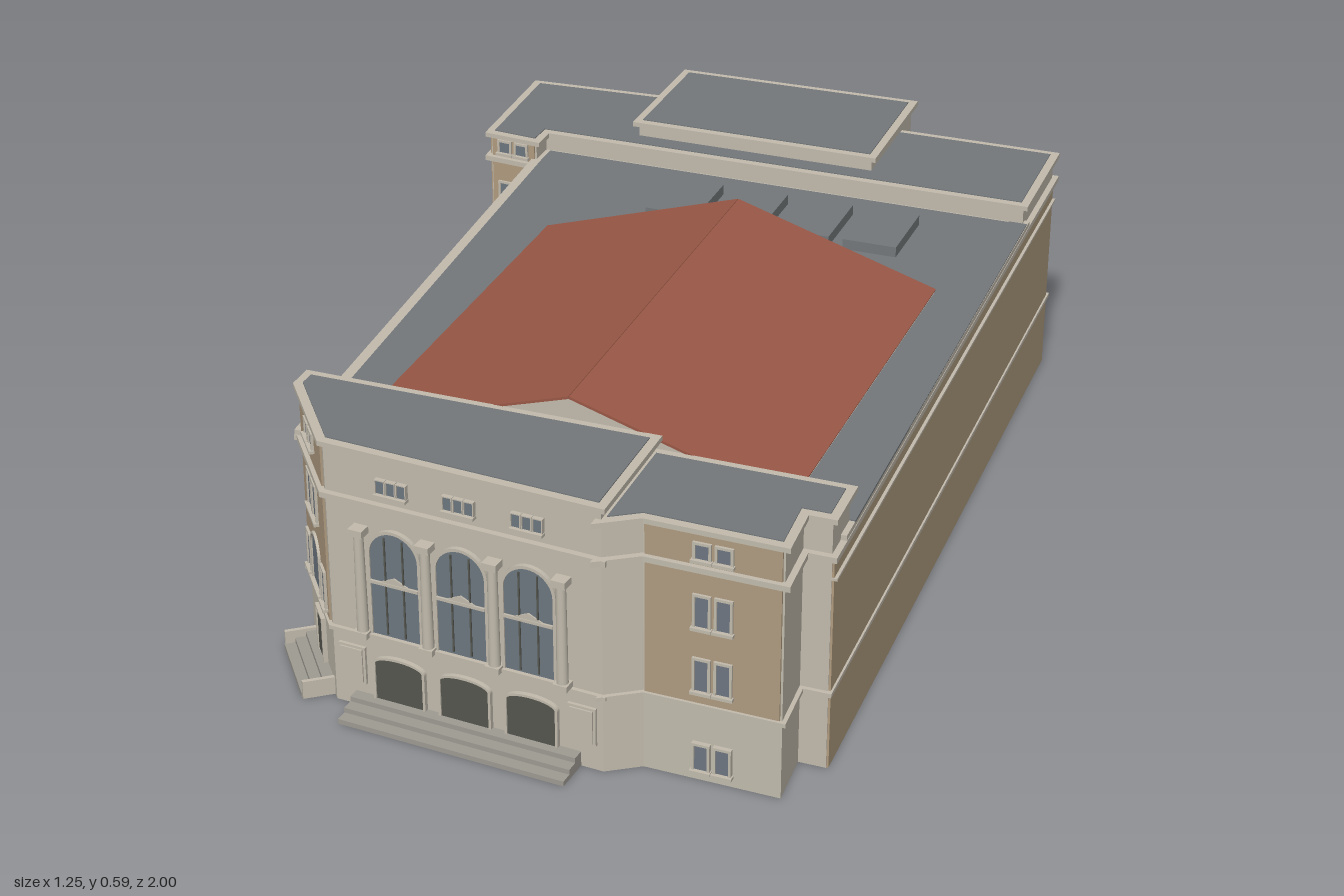
import * as THREE from 'three';

const mat = (name, color) => Object.assign(new THREE.MeshStandardMaterial({ color }), { name });
const stone = mat('pale stone', 0xc2bbad);
const brick = mat('tan brick', 0xb09b80);
const slate = mat('grey roof', 0x73787b);
const red = mat('red roof', 0x9a5846);
const glass = mat('window glass', 0x6d7680);
const dark = mat('dark doors', 0x55564f);
const stepGrey = mat('step stone', 0x9f9b93);

function add(parent, name, geometry, material, x = 0, y = 0, z = 0) {
  const m = new THREE.Mesh(geometry, material);
  m.name = name;
  m.position.set(x, y, z);
  parent.add(m);
  return m;
}

const box = (parent, name, material, w, h, d, x, y, z) =>
  add(parent, name, new THREE.BoxGeometry(w, h, d), material, x, y, z);

// Mitred outward offset of a footprint of [x, z] corners
function offset(pts, d) {
  const n = pts.length;
  const normal = (a, b) => {
    const dx = b[0] - a[0], dz = b[1] - a[1], l = Math.hypot(dx, dz);
    return [-dz / l, dx / l];
  };
  return pts.map((p, i) => {
    const a = normal(pts[(i + n - 1) % n], p), b = normal(p, pts[(i + 1) % n]);
    const k = d / (1 + a[0] * b[0] + a[1] * b[1]);
    return [p[0] + (a[0] + b[0]) * k, p[1] + (a[1] + b[1]) * k];
  });
}

// Upright prism on a footprint
function slab(parent, name, pts, y0, y1, material) {
  const shape = new THREE.Shape(pts.map(([x, z]) => new THREE.Vector2(x, -z)));
  const g = new THREE.ExtrudeGeometry(shape, { depth: y1 - y0, bevelEnabled: false });
  g.rotateX(-Math.PI / 2);
  return add(parent, name, g, material, 0, y0, 0);
}

// Local frame on a wall: x runs along it, z points outward
function wall(parent, name, p, q) {
  const g = new THREE.Group();
  g.name = name;
  g.position.set(p[0], 0, p[1]);
  g.rotation.y = Math.atan2(p[1] - q[1], q[0] - p[0]);
  g.userData.length = Math.hypot(q[0] - p[0], q[1] - p[1]);
  parent.add(g);
  return g;
}

function panel(w, y0, y1, inset = 0.01) {
  const L = w.userData.length;
  box(w, 'brickPanel', brick, L - inset * 2, y1 - y0, 0.004, L / 2, (y0 + y1) / 2, 0.002);
}

// Rectangle with an optional arched head of the given rise
function opening(Type, w, h, rise) {
  const s = new Type(), r = w / 2;
  s.moveTo(-r, 0);
  s.lineTo(r, 0);
  s.lineTo(r, h - rise);
  if (rise) s.absellipse(0, h - rise, r, rise, 0, Math.PI, false, 0);
  else s.lineTo(-r, h);
  s.lineTo(-r, 0);
  return s;
}

function windowAt(w, u, y, width, h, rise = 0, material = glass, t = 0.005) {
  const extrude = (s, depth) => new THREE.ExtrudeGeometry(s, { depth, bevelEnabled: false, curveSegments: 10 });
  add(w, 'windowPane', extrude(opening(THREE.Shape, width, h, rise), 0.006), material, u, y, 0);
  const frame = opening(THREE.Shape, width + t * 2, h + t, rise ? rise + t : 0);
  frame.holes.push(opening(THREE.Path, width, h, rise));
  add(w, 'windowFrame', extrude(frame, 0.009), stone, u, y, 0);
  box(w, 'windowSill', stone, width + t * 3, 0.006, 0.014, u, y - 0.003, 0.007);
}

const wingLevels = [[0.025, 0.05], [0.19, 0.062], [0.32, 0.06], [0.455, 0.028]];
function pairedWindows(w, u, levels = wingLevels) {
  for (const [y, h] of levels) for (const s of [-1, 1]) windowAt(w, u + s * 0.02, y, 0.024, h);
}

function steps(w, u, width, depth, height = 0.03, n = 3) {
  for (let i = 0; i < n; i++) {
    const d = depth * (1 - i / n);
    box(w, 'step', stepGrey, width, height / n, d, u, height * (i + 0.5) / n, d / 2);
  }
}

// Three great arches over three doors, with columns and attic windows
function pavilion(w, u, depth) {
  for (const i of [-1, 0, 1]) {
    const x = u + i * 0.133;
    windowAt(w, x, 0.17, 0.096, 0.215, 0.048, glass, 0.006);
    for (const s of [-1, 1]) box(w, 'mullion', dark, 0.003, 0.2, 0.003, x + s * 0.018, 0.275, 0.007);
    box(w, 'transom', stone, 0.096, 0.006, 0.005, x, 0.28, 0.008);
    const gable = new THREE.Shape([[-0.028, 0], [0.028, 0], [0, 0.013]].map(p => new THREE.Vector2(...p)));
    add(w, 'windowPediment', new THREE.ExtrudeGeometry(gable, { depth: 0.009, bevelEnabled: false }), stone, x, 0.283, 0);
    windowAt(w, x, 0.027, 0.096, 0.093, 0.014, dark, 0.005);
    for (const k of [-1, 0, 1]) windowAt(w, x + k * 0.021, 0.463, 0.016, 0.026, 0, glass, 0.002);
  }
  for (const i of [-1.5, -0.5, 0.5, 1.5]) {
    const x = u + i * 0.133;
    add(w, 'column', new THREE.CylinderGeometry(0.009, 0.011, 0.2, 14), stone, x, 0.273, 0.012);
    box(w, 'columnBase', stone, 0.028, 0.012, 0.026, x, 0.169, 0.012);
    box(w, 'columnCapital', stone, 0.028, 0.014, 0.026, x, 0.38, 0.012);
  }
  steps(w, u, 0.455, depth);
}

export function createModel() {
  const model = new THREE.Group();
  model.name = 'civicHall';

  // Footprints, anticlockwise seen from above
  const frontHall = [[-0.42, 0.68], [-0.42, 0.72], [-0.29, 0.89], [0.25, 0.93], [0.25, 0.68]];
  const frontWing = [[0.25, 0.68], [0.25, 0.93], [0.31, 0.89], [0.567, 0.895], [0.56, 0.78], [0.612, 0.78], [0.6096, 0.68]];
  const main = [[-0.49, -0.54], [-0.42, 0.72], [0.6105, 0.72], [0.578, -0.6], [-0.49, -0.6]];
  const rear = [[-0.6, -0.55], [-0.49, -0.54], [-0.49, -0.595], [0.578, -0.595], [0.572, -0.865], [-0.29, -0.86], [-0.612, -0.84]];
  const rearHall = [[-0.29, -0.64], [0.235, -0.64], [0.23, -0.947], [-0.29, -0.937]];

  // Blocks with string course, cornice, coping and roof
  const blocks = [['frontHall', frontHall, 0.545], ['frontWing', frontWing, 0.517], ['mainHall', main, 0.453],
    ['rearWings', rear, 0.497], ['rearHall', rearHall, 0.533]];
  for (const [name, pts, top] of blocks) {
    const g = new THREE.Group();
    g.name = name;
    model.add(g);
    slab(g, 'walls', pts, 0, top - 0.003, stone);
    slab(g, 'stringCourse', offset(pts, 0.008), 0.154, 0.162, stone);
    slab(g, 'cornice', offset(pts, 0.012), 0.43, 0.441, stone);
    slab(g, 'coping', offset(pts, 0.011), top - 0.012, top - 0.002, stone);
    slab(g, 'flatRoof', offset(pts, name === 'mainHall' ? -0.012 : -0.006), top - 0.006, top, slate);
  }
  slab(model, 'eastRoofEdge', [[0.58, 0.68], [0.621, 0.68], [0.588, -0.59], [0.55, -0.59]], 0.449, 0.4535, slate);

  // Red gabled roof over the auditorium
  const x0 = -0.33, x1 = 0.5, xr = 0.085, eave = 0.455, ridge = 0.583;
  const gable = new THREE.Shape([[x0, eave], [x1, eave], [xr, ridge]].map(p => new THREE.Vector2(...p)));
  add(model, 'gableWalls', new THREE.ExtrudeGeometry(gable, { depth: 0.88, bevelEnabled: false }), stone, 0, 0, -0.215);
  for (const xe of [x0, x1]) {
    const dx = xe - xr, dy = eave - ridge;
    const slope = box(model, 'redRoofSlope', red, Math.hypot(dx, dy), 0.005, 0.89, (xe + xr) / 2, (eave + ridge) / 2 + 0.002, 0.225);
    slope.rotation.z = Math.atan(dy / dx);
  }
  for (let i = 0; i < 4; i++) box(model, 'skylight', slate, 0.113, 0.024, 0.165, -0.105 + i * 0.143, 0.463, -0.425);

  // Front pavilion
  const front = wall(model, 'frontFacade', frontHall[2], frontHall[3]);
  pavilion(front, 0.27, 0.07);
  for (const u of [0.04, 0.502]) {
    box(front, 'plaque', stone, 0.055, 0.078, 0.006, u, 0.091, 0.003);
    box(front, 'plaqueFace', stone, 0.045, 0.068, 0.009, u, 0.091, 0.0045);
  }

  // Angled corner entrance
  const corner = wall(model, 'cornerFacade', frontHall[1], frontHall[2]);
  const c = corner.userData.length / 2;
  panel(corner, 0.163, 0.43);
  panel(corner, 0.442, 0.533);
  windowAt(corner, c, 0.03, 0.05, 0.09, 0, dark);
  windowAt(corner, c, 0.18, 0.066, 0.105, 0.033);
  for (const s of [-1, 1]) {
    windowAt(corner, c + s * 0.068, 0.18, 0.026, 0.072);
    windowAt(corner, c + s * 0.022, 0.335, 0.03, 0.07);
    windowAt(corner, c + s * 0.02, 0.482, 0.024, 0.028);
    box(corner, 'stairCheek', stone, 0.008, 0.036, 0.06, c + s * 0.088, 0.018, 0.03);
  }
  steps(corner, c, 0.17, 0.062);

  // Front wing
  const wing = wall(model, 'frontWingFacade', frontWing[2], frontWing[3]);
  panel(wing, 0.163, 0.43, 0.004);
  panel(wing, 0.442, 0.505, 0.004);
  pairedWindows(wing, 0.13);

  // Blind side wall
  const blind = wall(model, 'blindWall', frontWing[5], rear[4]);
  panel(blind, 0, 0.43, 0.002);
  box(blind, 'upperBand', stone, blind.userData.length, 0.005, 0.01, blind.userData.length / 2, 0.39, 0.005);

  // Windowed side wall
  const side = wall(model, 'windowedWall', main[0], main[1]);
  const L = side.userData.length;
  panel(side, 0.163, 0.43);
  for (let i = 0; i < 11; i++) {
    const u = L * (i + 0.5) / 11;
    windowAt(side, u, 0.035, 0.04, 0.055);
    windowAt(side, u, 0.372, 0.036, 0.042, 0.018);
    if (i < 2 || i > 7) windowAt(side, u, 0.195, 0.036, 0.075);
  }
  for (let i = 0; i < 4; i++) {
    const u = L * (0.27 + i * 0.125);
    windowAt(side, u, 0.175, 0.085, 0.18, 0.042);
    box(side, 'mullion', dark, 0.003, 0.165, 0.003, u, 0.26, 0.007);
    box(side, 'transom', dark, 0.085, 0.004, 0.003, u, 0.28, 0.007);
  }

  // Rear wings and rear pavilion
  const rearWalls = [['rearEastFacade', rear[4], [0.235, -0.862], [0.09, 0.24]], ['rearWestFacade', [-0.29, -0.86], rear[6], [0.09, 0.23]],
    ['rearEndFacade', rear[6], rear[0], [0.08, 0.21]], ['rearReturnFacade', rear[0], rear[1], [0.055]]];
  for (const [name, p, q, centres] of rearWalls) {
    const w = wall(model, name, p, q);
    panel(w, 0.163, 0.43, 0.004);
    panel(w, 0.442, 0.485, 0.004);
    for (const u of centres) pairedWindows(w, u, [...wingLevels.slice(0, 3), [0.453, 0.024]]);
  }
  pavilion(wall(model, 'rearFacade', rearHall[2], rearHall[3]), 0.26, 0.055);

  return model;
}
